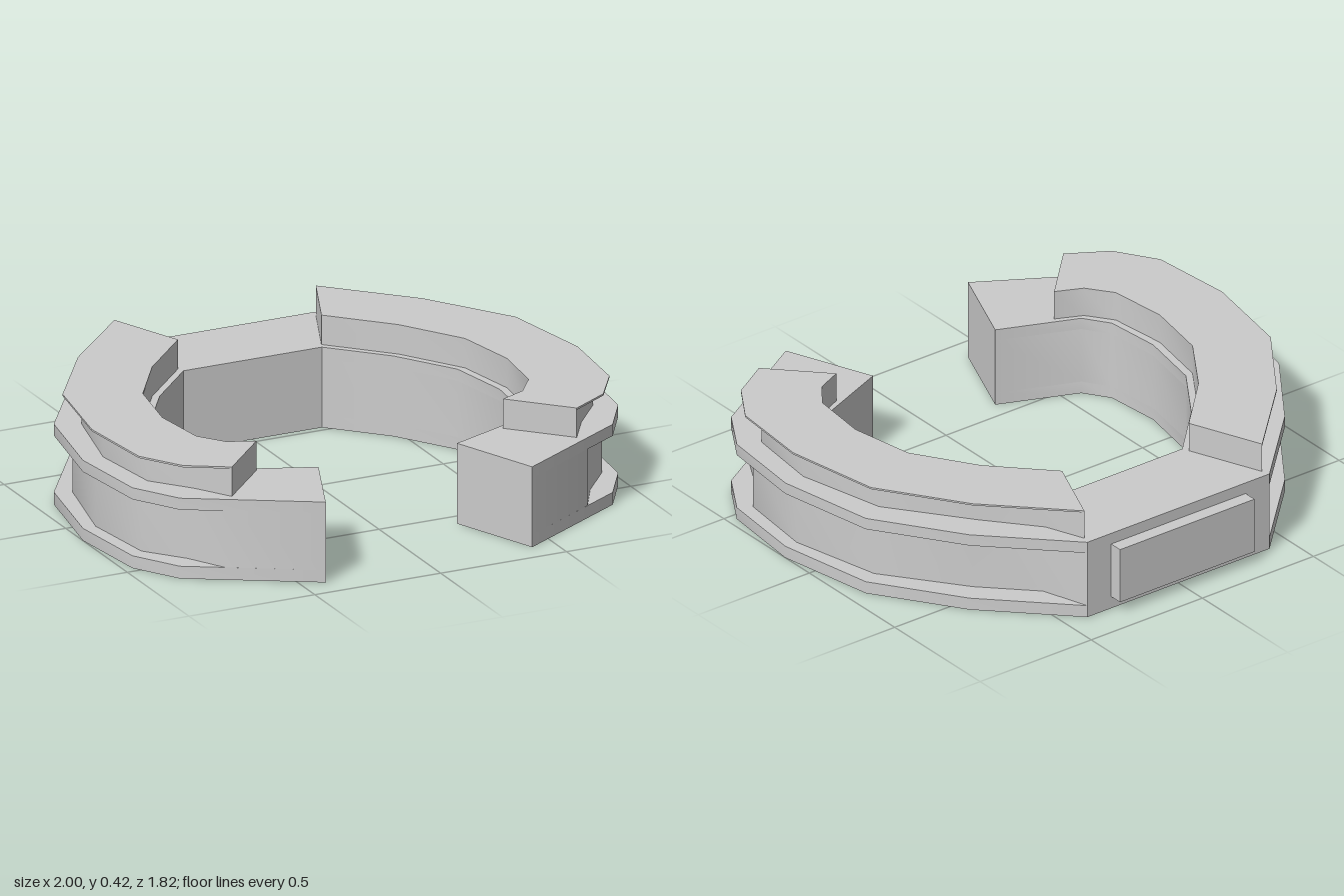
import * as THREE from 'three';
import { toCreasedNormals } from 'three/addons/utils/BufferGeometryUtils.js';

const material = new THREE.MeshStandardMaterial({ color: 0xcccccc });

// Outlines of the left half as [x, z], running from back to front
const outerEdge = [[0.41, -0.86], [0.71, -0.56], [0.93, -0.24], [1, 0.14], [0.965, 0.47], [0.86, 0.64], [0.41, 0.905]];
const innerEdge = [[0.275, -0.525], [0.465, -0.33], [0.61, -0.11], [0.655, 0.14], [0.635, 0.355], [0.57, 0.45], [0.275, 0.57]];
const grooveEdge = [[0.41, -0.86], [0.47, -0.68], [0.65, -0.5], [0.87, -0.21], [0.95, 0.14], [0.915, 0.44], [0.8, 0.58], [0.72, 0.722], [0.41, 0.905]];
const capOuter = [[0.4, -0.83], [0.685, -0.545], [0.9, -0.23], [0.965, 0.14], [0.935, 0.46], [0.835, 0.615], [0.685, 0.705]];
const capInner = [[0.285, -0.55], [0.49, -0.34], [0.64, -0.11], [0.685, 0.14], [0.66, 0.365], [0.59, 0.46], [0.49, 0.505]];
const capGroove = [[0.4, -0.83], [0.46, -0.68], [0.62, -0.49], [0.84, -0.2], [0.92, 0.14], [0.885, 0.43], [0.77, 0.57], [0.685, 0.705]];

const mirror = (points) => points.map(([x, z]) => [-x, z]);
const reversed = (points) => [...points].reverse();

// Upright slab with the given [x, z] outline between two heights
function slab(name, outline, y0, y1) {
  const shape = new THREE.Shape(outline.map(([x, z]) => new THREE.Vector2(x, -z)));
  const geometry = new THREE.ExtrudeGeometry(shape, { depth: y1 - y0, bevelEnabled: false });
  geometry.rotateX(-Math.PI / 2).translate(0, y0, 0);
  const mesh = new THREE.Mesh(toCreasedNormals(geometry, 0.7), material);
  mesh.name = name;
  return mesh;
}

// Whole open ring from one half's outer and inner edges
const openRing = (outer, inner) => [
  ...reversed(mirror(outer)), ...outer,
  ...reversed(inner), ...mirror(inner),
];

export function createModel() {
  const model = new THREE.Group();
  model.name = 'openRing';

  // Lower ring: two flanges around a recessed core
  const lowerRing = new THREE.Group();
  lowerRing.name = 'lowerRing';
  lowerRing.add(
    slab('bottomFlange', openRing(outerEdge, innerEdge), 0, 0.047),
    slab('groovedCore', openRing(grooveEdge, innerEdge), 0.047, 0.262),
    slab('topFlange', openRing(outerEdge, innerEdge), 0.262, 0.306),
  );
  model.add(lowerRing);

  // Raised arc on each side: recessed wall under a thin overhanging cap
  for (const side of ['left', 'right']) {
    const place = side === 'left' ? (p) => p : mirror;
    const arc = new THREE.Group();
    arc.name = `${side}RaisedArc`;
    arc.add(
      slab('arcWall', place([...capGroove, ...reversed(capInner)]), 0.306, 0.411),
      slab('arcCap', place([...capOuter, ...reversed(capInner)]), 0.411, 0.418),
    );
    model.add(arc);
  }

  // Flat plate on the back
  const plate = new THREE.Mesh(new THREE.BoxGeometry(0.605, 0.215, 0.06), material);
  plate.name = 'backPlate';
  plate.position.set(0, 0.155, -0.882);
  model.add(plate);

  return model;
}
